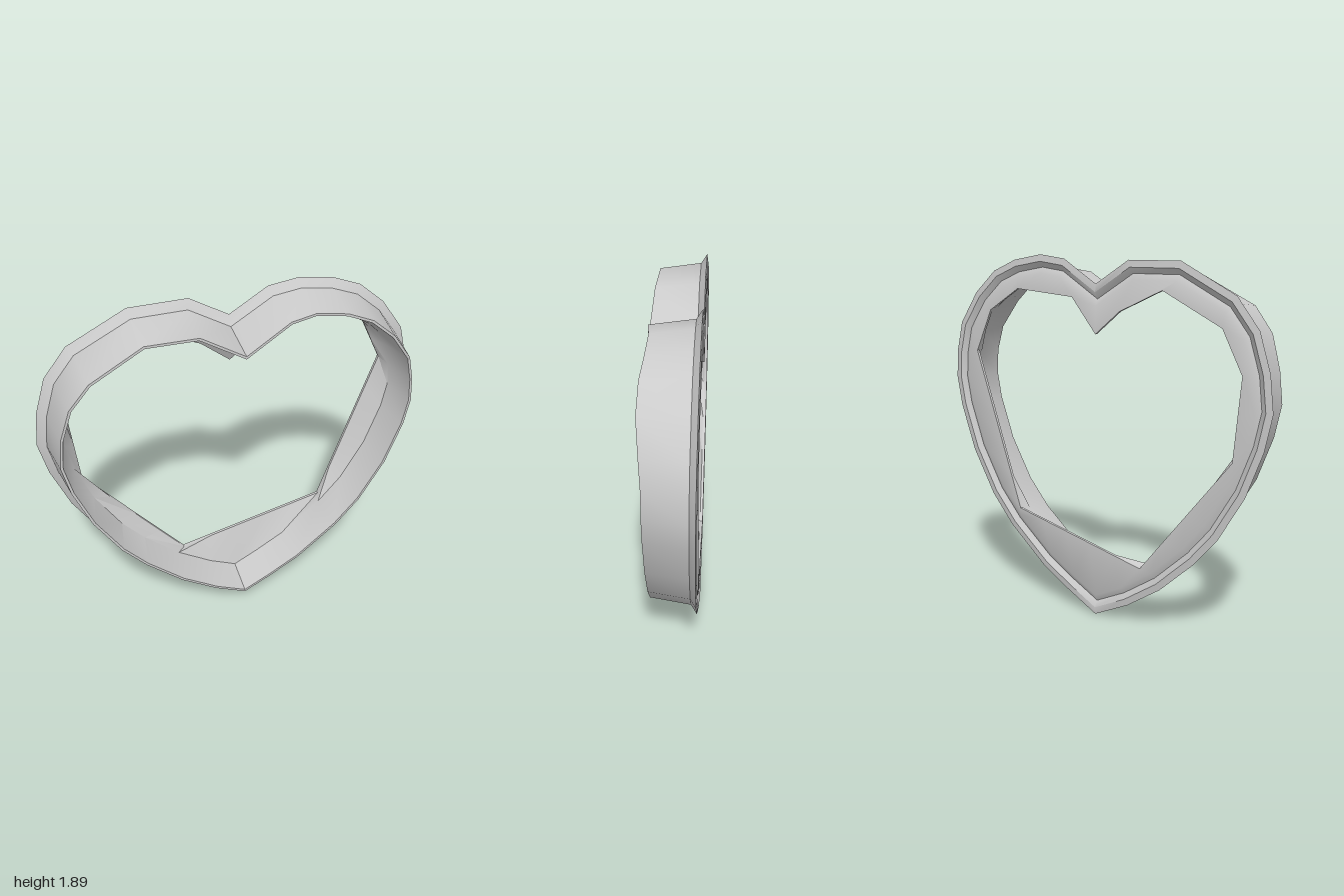
import * as THREE from 'three';
import { toCreasedNormals } from 'three/addons/utils/BufferGeometryUtils.js';

// Heart outline of the back flange, counter-clockwise from the bottom tip
const OUTLINE = [
  [0.01, 0], [0.2, 0.1], [0.37, 0.2], [0.6, 0.39], [0.74, 0.55], [0.88, 0.79], [0.97, 1.04],
  [1, 1.2], [0.99, 1.35], [0.95, 1.51], [0.83, 1.68], [0.69, 1.8], [0.54, 1.86], [0.36, 1.89],
  [0.2, 1.87], [0, 1.75], [-0.2, 1.87], [-0.5, 1.87], [-0.8, 1.72], [-0.92, 1.57], [-0.98, 1.38],
  [-1, 1.2], [-0.96, 1.02], [-0.87, 0.79], [-0.73, 0.56], [-0.6, 0.41], [-0.4, 0.23], [-0.2, 0.1],
].map(([x, y]) => new THREE.Vector2(x, y));
const N = OUTLINE.length;

// Coarse inner lip: [outline index, x, y], joined by straight chords
const LIP = [
  [3, 0.53, 0.5], [8, 0.83, 1.36], [10, 0.72, 1.59], [12, 0.52, 1.71], [14, 0.15, 1.68],
  [15, 0, 1.5], [16, -0.15, 1.62], [17, -0.4, 1.73], [18, -0.73, 1.57], [20, -0.84, 1.36],
  [22, -0.8, 0.95], [26, -0.28, 0.32], [N + 3, 0.53, 0.5],
];

// Outline point i moved inwards along its mitred normal
function inset(i, d) {
  const p = OUTLINE[i];
  const normal = (a, b) => new THREE.Vector2(a.y - b.y, b.x - a.x).normalize();
  const n1 = normal(OUTLINE[(i + N - 1) % N], p);
  const n2 = normal(p, OUTLINE[(i + 1) % N]);
  const m = n1.clone().add(n2).divideScalar(1 + n1.dot(n2));
  return p.clone().addScaledVector(m, d);
}

function lipPoint(i) {
  const k = i < LIP[0][0] ? i + N : i;
  const s = LIP.findIndex((c, j) => j < LIP.length - 1 && k >= c[0] && k <= LIP[j + 1][0]);
  const [a, ax, ay] = LIP[s];
  const [b, bx, by] = LIP[s + 1];
  const t = (k - a) / (b - a);
  return new THREE.Vector2(ax + (bx - ax) * t, ay + (by - ay) * t);
}

// Closed cross-section of the band at outline point i
function section(i) {
  const { x, y } = OUTLINE[i];
  const lip = lipPoint(i);
  // The cutting edge waves forward along the two upper lobes
  const wave = Math.cos((Math.PI * x) / 0.8) ** 2 * THREE.MathUtils.smoothstep(y, 1.36, 1.65);
  const front = 0.108 + 0.027 * wave;
  return [
    [inset(i, 0.075), front],   // cutting edge, outside
    [inset(i, 0.045), -0.1],    // foot of the wall
    [inset(i, 0), -0.13],       // flange rim
    [inset(i, 0.035), -0.135],
    [inset(i, 0.065), -0.115],  // shallow groove at the back
    [inset(i, 0.095), -0.132],
    [lip, -0.135],              // inner lip
    [lip, -0.12],
    [inset(i, 0.125), -0.07],   // inside of the wall
    [inset(i, 0.088), front],   // cutting edge, inside
  ].map(([p, z]) => [p.x, p.y, z]);
}

function bandGeometry() {
  const rings = OUTLINE.map((_, i) => section(i));
  const M = rings[0].length;
  const pos = [];
  const idx = [];
  rings.forEach((ring, i) => ring.forEach((p, j) => {
    pos.push(...p);
    const i2 = (i + 1) % N;
    const j2 = (j + 1) % M;
    const a = i * M + j, b = i * M + j2, c = i2 * M + j2, d = i2 * M + j;
    idx.push(a, b, d, b, c, d);
  }));
  const g = new THREE.BufferGeometry();
  g.setAttribute('position', new THREE.Float32BufferAttribute(pos, 3));
  g.setIndex(idx);
  return toCreasedNormals(g, 0.7);
}

export function createModel() {
  const group = new THREE.Group();
  group.name = 'heartCutter';
  const material = new THREE.MeshStandardMaterial({ color: 0xcccccc, side: THREE.DoubleSide });
  const band = new THREE.Mesh(bandGeometry(), material);
  band.name = 'heartBand';
  group.add(band);
  return group;
}
